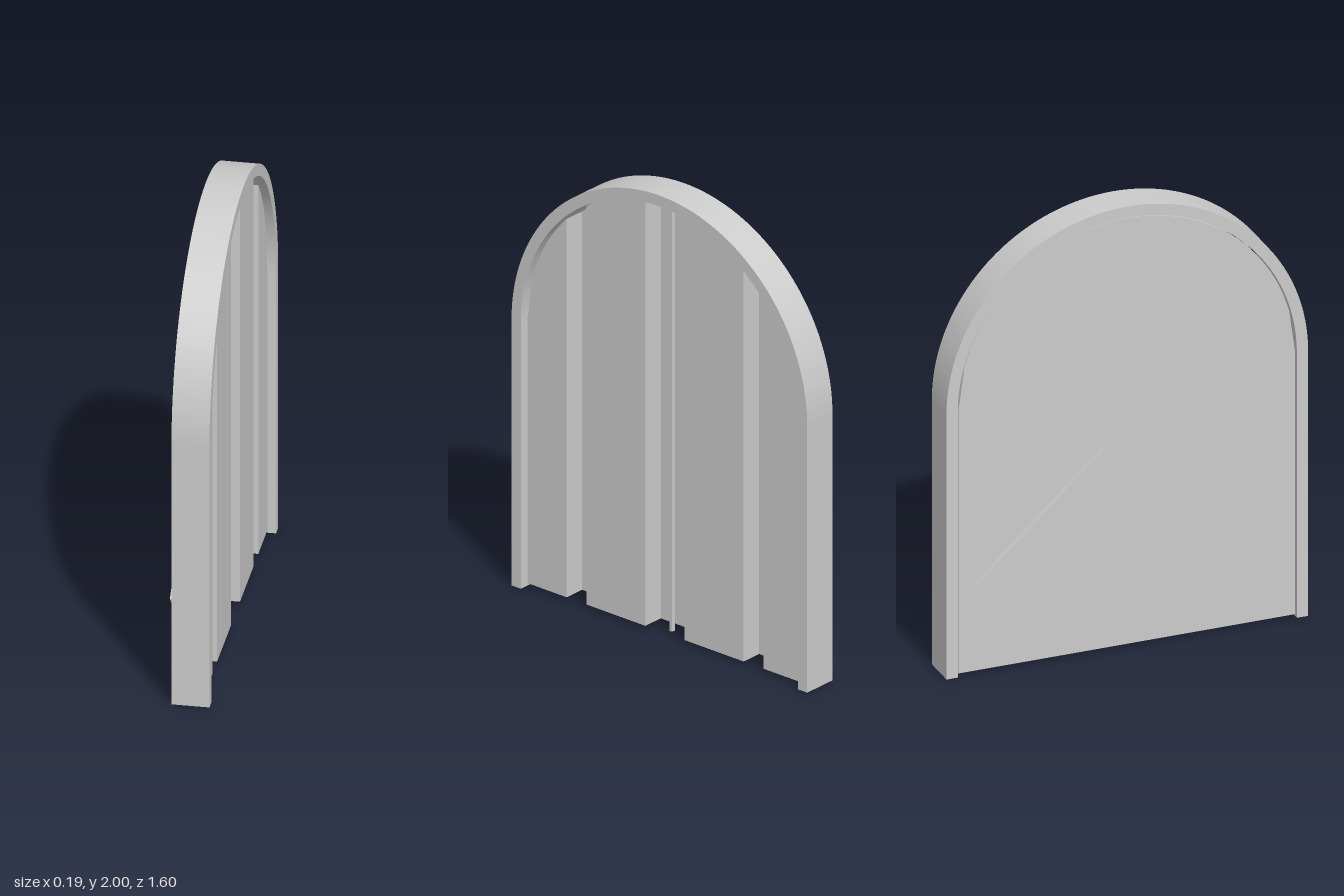
import * as THREE from 'three';

const SPRING = 1.2;                       // height where the arch begins
const BACK = -0.06;                       // back plane of the planks
const material = new THREE.MeshStandardMaterial({ color: 0xcccccc });

// Extrude a shape drawn in the (z, y) plane between two x positions
function slab(name, shape, xBack, xFront, curveSegments = 8) {
  const geo = new THREE.ExtrudeGeometry(shape, { depth: xFront - xBack, bevelEnabled: false, curveSegments });
  geo.rotateY(-Math.PI / 2).translate(xFront, 0, 0);
  const mesh = new THREE.Mesh(geo, material);
  mesh.name = name;
  return mesh;
}

function box(name, sx, sy, sz, x, y, z) {
  const mesh = new THREE.Mesh(new THREE.BoxGeometry(sx, sy, sz), material);
  mesh.name = name;
  mesh.position.set(x, y, z);
  return mesh;
}

// Frame: two straight posts and six arch segments
function createFrame() {
  const frame = new THREE.Group();
  frame.name = 'frame';
  const xBack = -0.066, xFront = 0.092, outer = 0.8, inner = 0.75;
  for (const s of [-1, 1]) {
    frame.add(box('framePost', xFront - xBack, SPRING, outer - inner,
      (xFront + xBack) / 2, SPRING / 2, s * (outer + inner) / 2));
  }
  const step = Math.PI / 6;
  for (let i = 0; i < 6; i++) {
    const shape = new THREE.Shape();
    shape.absarc(0, SPRING, outer, i * step, (i + 1) * step, false);
    shape.absarc(0, SPRING, inner, (i + 1) * step, i * step, true);
    frame.add(slab('archSegment', shape, xBack, xFront, 10));
  }
  return frame;
}

// Door leaf: fourteen planks with curved tops, some thick and some thin
function createPlanks() {
  const planks = new THREE.Group();
  planks.name = 'planks';
  const r = 0.745, count = 14, width = 2 * r / count, bottom = 0.015;
  const thin = [2, 6, 7, 11];
  for (let i = 0; i < count; i++) {
    const a = -r + i * width, b = a + width;
    const shape = new THREE.Shape();
    shape.moveTo(a, bottom);
    shape.lineTo(b, bottom);
    for (let k = 0; k <= 4; k++) {
      const z = b + (a - b) * k / 4;
      shape.lineTo(z, SPRING + Math.sqrt(Math.max(0, r * r - z * z)) + 1e-4);
    }
    planks.add(slab('plank', shape, BACK, thin.includes(i) ? -0.04 : 0.057));
  }
  return planks;
}

// Slanted bars on the back, rising towards the middle
function createBars() {
  const bars = new THREE.Group();
  bars.name = 'backBars';
  const angle = Math.atan2(0.52, 0.57);
  for (const s of [-1, 1]) {
    const bar = box('slantedBar', 0.025, 0.04, 0.773, -0.0825, 0.665, s * 0.378);
    bar.rotation.x = s * angle;
    bars.add(bar);
  }
  return bars;
}

export function createModel() {
  const model = new THREE.Group();
  model.name = 'archedDoor';
  model.add(createFrame(), createPlanks(), createBars());
  // Thin upright rod in the middle recess
  model.add(box('centreRod', 0.018, 1.93, 0.015, 0.012, 0.975, 0));
  return model;
}
